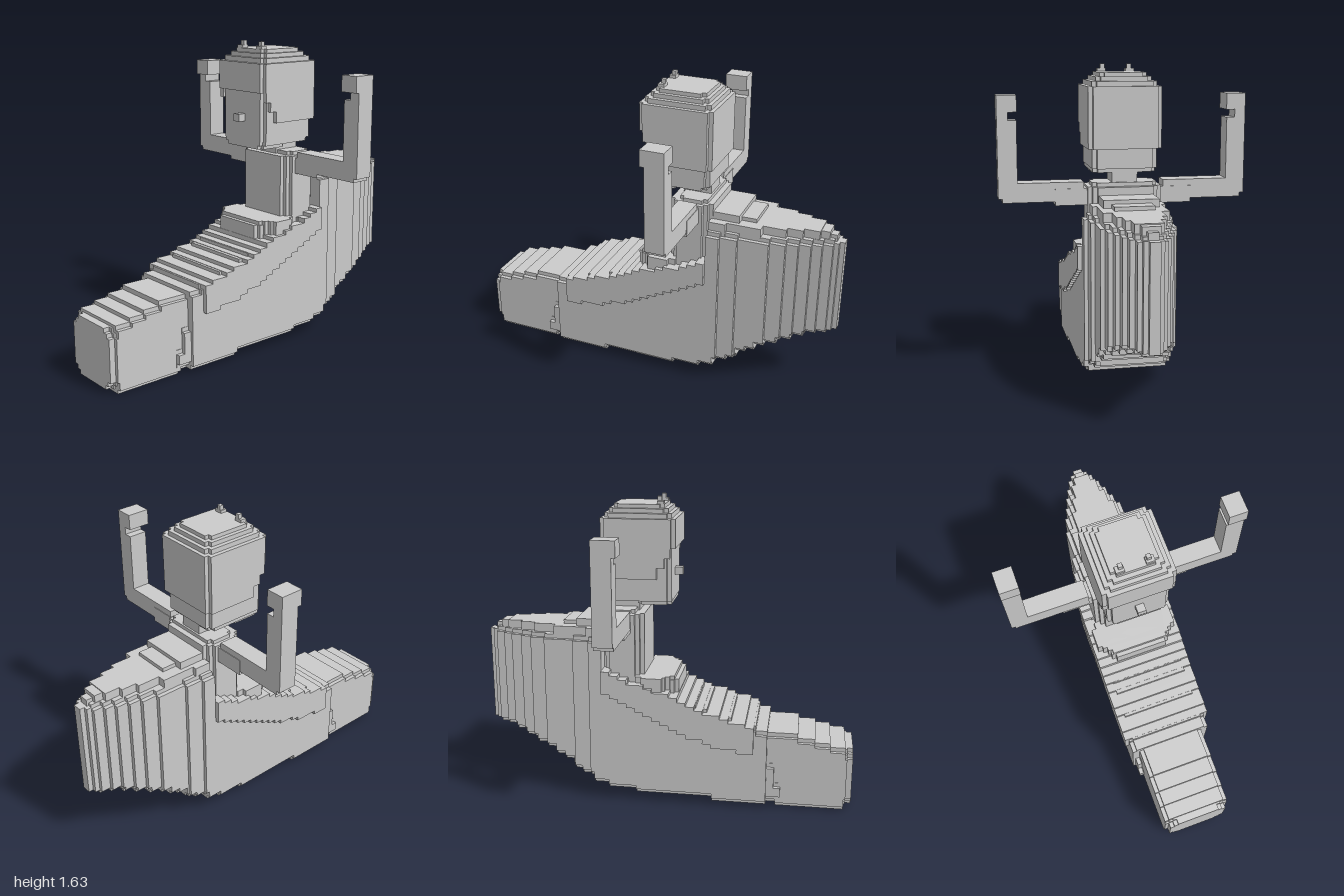
import * as THREE from 'three';

const V = 0.0225; // edge of one small block

// Rectangle whose four corners are cut back in n block-sized stairs.
function steppedShape(x0, x1, y0, y1, n) {
  const pts = [];
  const corner = (x, y, sx, sy, flip) => {
    const c = [];
    for (let i = 0; i < n; i++) {
      c.push([x + sx * i * V, y + sy * (n - i) * V]);
      c.push([x + sx * (i + 1) * V, y + sy * (n - i) * V]);
    }
    c.push([x + sx * n * V, y]);
    pts.push(...(flip ? c.reverse() : c));
  };
  corner(x0, y0, 1, 1, false);
  corner(x1, y0, -1, 1, true);
  corner(x1, y1, -1, -1, false);
  corner(x0, y1, 1, -1, true);
  return new THREE.Shape(pts.map(p => new THREE.Vector2(p[0], p[1])));
}

// Value of a step table [[start, value], ...] ordered from front (+z) to back.
const stepAt = (table, z) => {
  let v = table[0][1];
  for (const [start, value] of table) if (z < start) v = value;
  return v;
};

export function createModel() {
  const model = new THREE.Group();
  const material = new THREE.MeshStandardMaterial({ color: 0xcccccc, flatShading: true });

  const group = name => {
    const g = new THREE.Group();
    g.name = name;
    model.add(g);
    return g;
  };
  const add = (parent, name, geometry) => {
    const m = new THREE.Mesh(geometry, material);
    m.name = name;
    parent.add(m);
  };
  const box = (parent, name, x0, x1, y0, y1, z0, z1) => add(parent, name,
    new THREE.BoxGeometry(x1 - x0, y1 - y0, z1 - z0)
      .translate((x0 + x1) / 2, (y0 + y1) / 2, (z0 + z1) / 2));
  // Slice facing the front, with stepped corners in x and y
  const slice = (parent, name, hw, y0, y1, z0, z1, n = 1) => add(parent, name,
    new THREE.ExtrudeGeometry(steppedShape(-hw, hw, y0, y1, n), { depth: z1 - z0, bevelEnabled: false })
      .translate(0, 0, z0));
  // Horizontal layer, with stepped corners in x and z
  const layer = (parent, name, hw, z0, z1, y0, y1, n = 1) => add(parent, name,
    new THREE.ExtrudeGeometry(steppedShape(-hw, hw, -z1, -z0, n), { depth: y1 - y0, bevelEnabled: false })
      .rotateX(-Math.PI / 2).translate(0, y0, 0));

  // Step tables of the long body
  const top = [[1, 0.335], [0.96, 0.35], [0.88, 0.37], [0.8, 0.39], [0.71, 0.415], [0.55, 0.435],
    [0.49, 0.46], [0.42, 0.48], [0.36, 0.5], [0.29, 0.52], [0.23, 0.54], [0.17, 0.56],
    [0.12, 0.58], [0.07, 0.605], [0.02, 0.625], [-0.05, 0.645], [-0.12, 0.665], [-0.19, 0.69],
    [-0.25, 0.71], [-0.29, 0.73], [-0.33, 0.905], [-0.95, 0.89]];
  const bottom = [[1, 0.02], [0.96, 0], [0.6, 0.02], [0.26, 0.045], [-0.15, 0.065], [-0.3, 0.09],
    [-0.38, 0.13], [-0.45, 0.155], [-0.5, 0.2], [-0.55, 0.225], [-0.6, 0.265], [-0.65, 0.28],
    [-0.71, 0.31], [-0.78, 0.335], [-0.84, 0.355], [-0.95, 0.375]];
  const half = [[1, 0.165], [0.97, 0.185], [0.55, 0.225], [-0.4, 0.205], [-0.49, 0.185],
    [-0.65, 0.163], [-0.73, 0.14], [-0.79, 0.118], [-0.85, 0.095], [-0.9, 0.07],
    [-0.95, 0.048], [-0.975, 0.025]];
  const cuts = [...new Set([...top, ...bottom, ...half].map(r => r[0]).concat(-1))].sort((a, b) => b - a);

  // Long body, from the feet end to the narrowing back
  const body = group('body');
  for (let i = 0; i < cuts.length - 1; i++) {
    const z1 = cuts[i], z0 = cuts[i + 1], z = (z0 + z1) / 2;
    slice(body, 'bodySlice', stepAt(half, z), stepAt(bottom, z), stepAt(top, z), z0, z1,
      z > 0.96 ? 2 : z < -0.95 ? 0 : 1);
  }
  // Sloping front edge of the wider hull
  slice(body, 'hullEdge', 0.21, 0.045, 0.25, 0.54, 0.59);
  slice(body, 'hullEdge', 0.21, 0.045, 0.14, 0.59, 0.625);

  // Stepped ridge on top of the back
  const ridge = group('backRidge');
  const ridgeSteps = [[-0.33, -0.48, 0.14, 0.99], [-0.33, -0.56, 0.1, 0.97], [-0.33, -0.42, 0.185, 0.95],
    [-0.42, -0.6, 0.163, 0.95], [-0.6, -0.72, 0.12, 0.95], [-0.72, -0.8, 0.095, 0.95],
    [-0.8, -0.88, 0.07, 0.95], [-0.88, -0.925, 0.045, 0.945], [-0.925, -0.96, 0.025, 0.925]];
  for (const [z1, z0, hw, y] of ridgeSteps) box(ridge, 'ridgeStep', -hw, hw, 0.88, y, z0, z1);

  // Blanket, one block wider than the body, with a rising stepped hem
  const blanket = group('blanket');
  const hemLine = [[0.48, 0.315], [0.25, 0.35], [0, 0.45], [-0.33, 0.61]];
  const hemAt = z => {
    const i = z > 0.25 ? 0 : z > 0 ? 1 : 2;
    const [[za, ya], [zb, yb]] = [hemLine[i], hemLine[i + 1]];
    return Math.round((ya + (yb - ya) * (z - za) / (zb - za)) / V) * V;
  };
  const count = 18, len = 0.81 / count;
  for (let i = 0; i < count; i++) {
    const z1 = 0.48 - i * len, z = z1 - len / 2;
    box(blanket, 'blanketStrip', -0.247, 0.247, hemAt(z), stepAt(top, z) + 0.002, z1 - len, z1);
  }

  // Lap and torso
  const torso = group('torso');
  layer(torso, 'lap', 0.2, -0.2, 0.05, 0.56, 0.7, 2);
  layer(torso, 'lapFront', 0.165, -0.1, 0.073, 0.58, 0.68, 1);
  box(torso, 'lapFold', -0.225, 0.225, 0.6, 0.7, -0.12, -0.01);
  layer(torso, 'chest', 0.188, -0.34, -0.112, 0.6, 1.03, 2);
  layer(torso, 'collar', 0.165, -0.31, -0.16, 1.02, 1.05, 1);
  box(torso, 'neck', -0.065, 0.065, 1.03, 1.1, -0.3, -0.15);

  // Raised arms
  for (const s of [1, -1]) {
    const arm = group(s > 0 ? 'leftArm' : 'rightArm');
    const part = (name, a, b, ...rest) => box(arm, name, Math.min(s * a, s * b), Math.max(s * a, s * b), ...rest);
    part('shoulder', 0.16, 0.35, 0.935, 1.02, -0.278, -0.178);
    part('upperArm', 0.205, 0.615, 0.955, 1.053, -0.275, -0.175);
    part('forearm', 0.538, 0.635, 0.975, 1.367, -0.275, -0.175);
    part('wrist', 0.58, 0.635, 1.36, 1.41, -0.275, -0.175);
    part('hand', 0.536, 0.635, 1.407, 1.49, -0.275, -0.155);
  }

  // Face and nose
  const head = group('head');
  layer(head, 'chin', 0.142, -0.15, 0.03, 1.08, 1.1, 1);
  layer(head, 'jaw', 0.16, -0.3, 0.033, 1.1, 1.13, 1);
  layer(head, 'face', 0.165, -0.318, 0.033, 1.12, 1.4, 1);
  box(head, 'nose', -0.022, 0.022, 1.22, 1.26, 0.02, 0.075);

  // Hair cap, stepping in towards the crown
  const hair = group('hair');
  layer(hair, 'hairCap', 0.187, -0.335, 0.055, 1.38, 1.53, 1);
  layer(hair, 'hairBack', 0.187, -0.335, -0.08, 1.22, 1.39, 1);
  [[0.165, 0.033, 1.555], [0.142, 0.012, 1.577], [0.12, -0.01, 1.597]].forEach(([hw, z1, y], i) =>
    layer(hair, 'crown', hw, -0.315 + i * 0.02, z1, 1.52, y, 1));
  for (const s of [1, -1]) {
    // Stepped side locks in front of the ears
    [[0.03, 1.33], [0, 1.28], [-0.04, 1.22]].forEach(([z, y]) =>
      box(hair, 'sideLock', s * 0.175 - 0.012, s * 0.175 + 0.012, y, 1.39, -0.12, z));
    // Small tufts
    box(hair, 'tuftBase', s * 0.075 - 0.022, s * 0.075 + 0.022, 1.59, 1.612, -0.05, -0.015);
    box(hair, 'tuftTip', s * 0.07 - 0.011, s * 0.07 + 0.011, 1.6, 1.635, -0.05, -0.028);
  }
  return model;
}
